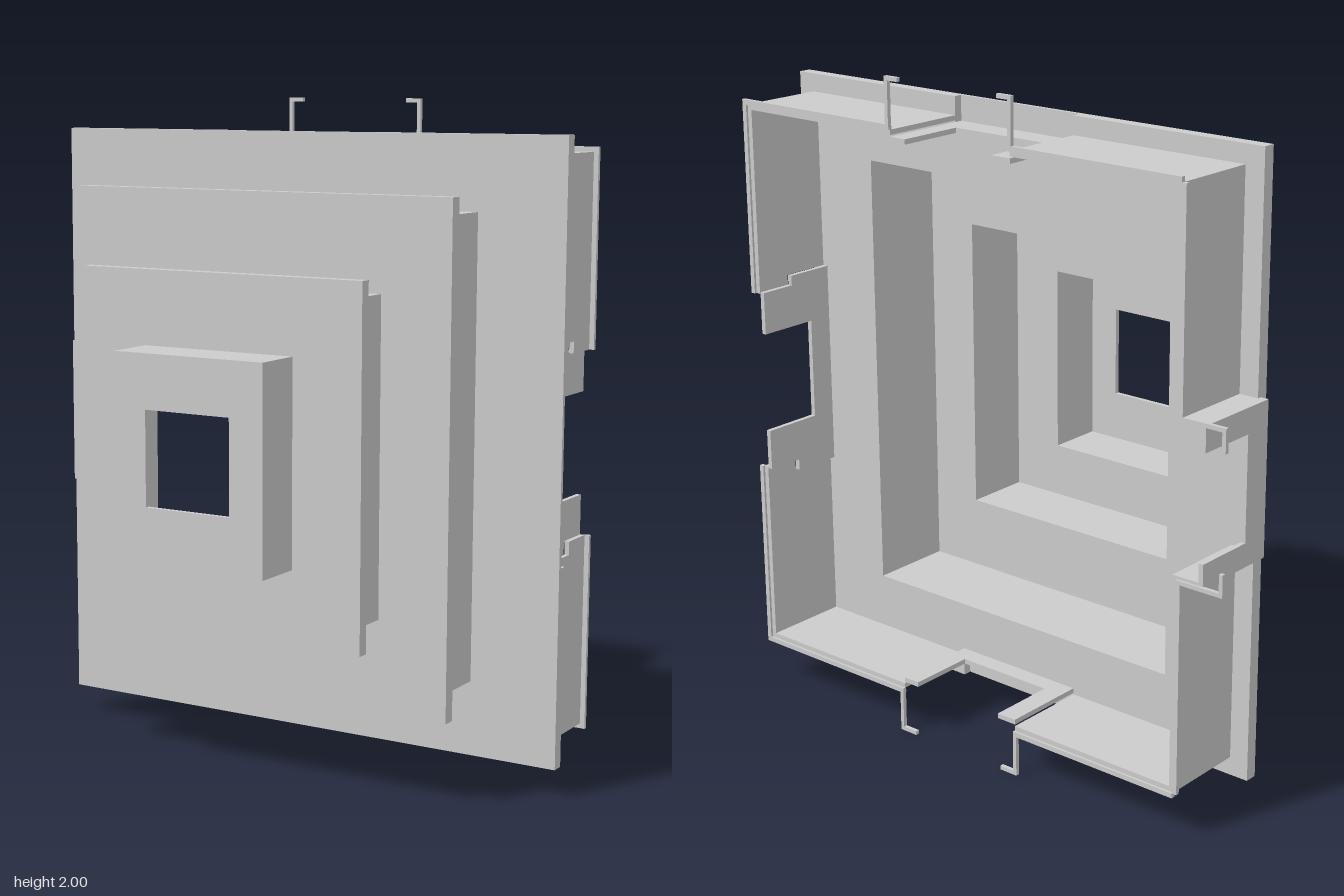
import * as THREE from 'three';

const T = 0.015; // sheet thickness
const BACK = -0.46;

export function createModel() {
  const model = new THREE.Group();
  const mat = new THREE.MeshStandardMaterial({ color: 0xcccccc, flatShading: true, side: THREE.DoubleSide });

  const add = (name, geo) => {
    const mesh = new THREE.Mesh(geo, mat);
    mesh.name = name;
    model.add(mesh);
    return mesh;
  };
  // Box given by its limits
  const box = (name, x0, x1, y0, y1, z0, z1) => {
    const g = new THREE.BoxGeometry(x1 - x0, y1 - y0, z1 - z0);
    g.translate((x0 + x1) / 2, (y0 + y1) / 2, (z0 + z1) / 2);
    return add(name, g);
  };
  const toPoints = (pts) => pts.map(([a, b]) => new THREE.Vector2(a, b));
  const rect = ([x0, x1, y0, y1]) => [[x0, y0], [x1, y0], [x1, y1], [x0, y1]];
  const inset = ([x0, x1, y0, y1], d) => [x0 + d, x1 - d, y0 + d, y1 - d];
  const extrude = (pts, depth, hole) => {
    const shape = new THREE.Shape(toPoints(pts));
    if (hole) shape.holes.push(new THREE.Path(toPoints(rect(hole))));
    return new THREE.ExtrudeGeometry(shape, { depth, bevelEnabled: false });
  };
  const frame = (name, pts, hole, z0, z1) => add(name, extrude(pts, z1 - z0, hole).translate(0, 0, z0));

  // Outlines [x0, x1, y0, y1] of the hollow tiers, back to front
  const tierA = [-0.75, 0.845, 0.14, 1.85];
  const tierB = [-0.53, 0.625, 0.31, 1.685];
  const tierC = [-0.365, 0.46, 0.53, 1.465];
  const tierD = [-0.2, 0.295, 0.695, 1.3];
  const plateA = [-0.81, 0.9, 0.085, 1.905];
  const plateB = [-0.59, 0.68, 0.255, 1.74];
  const plateC = [-0.42, 0.515, 0.475, 1.52];

  // Stepped tier walls and flange plates
  frame('middleTierWall', rect(tierB), inset(tierB, T), -0.155, 0.07);
  frame('smallTierWall', rect(tierC), inset(tierC, T), 0.11, 0.28);
  frame('frontTierWall', rect(tierD), inset(tierD, T), 0.315, 0.47 - T);
  frame('frontPanel', rect(tierD), [-0.095, 0.185, 0.86, 1.14], 0.47 - T, 0.47);
  frame('middlePlate', rect(plateB), inset(tierC, T), 0.07, 0.11);
  frame('smallPlate', rect(plateC), inset(tierD, T), 0.28, 0.315);
  frame('largePlateFront', rect(plateA), inset(tierB, T), -0.167, -0.155);

  // Rear layer of the large plate, notched at the top, bottom and +x edges
  const gx0 = -0.175, gx1 = 0.265, gy0 = 0.68, gy1 = 1.31, R = 0.02;
  const [px0, px1, py0, py1] = plateA;
  const [ax0, ax1, ay0, ay1] = tierA;
  frame('largePlateRear', [
    [px0, py0], [gx0, py0], [gx0, ay0 + R], [gx1, ay0 + R], [gx1, py0], [px1, py0],
    [px1, gy0], [ax1 - R, gy0], [ax1 - R, gy1], [px1, gy1], [px1, py1],
    [gx1, py1], [gx1, ay1 - R], [gx0, ay1 - R], [gx0, py1], [px0, py1],
  ], inset(tierB, T), -0.193, -0.167);

  // Rear tier top and bottom: wall halves, rim lips and notched centre panels
  for (const top of [true, false]) {
    const y0 = top ? ay1 - T : ay0, y1 = y0 + T;
    const l0 = top ? ay1 : ay0 - T;
    for (const [x0, x1] of [[ax0, gx0], [gx1, ax1]]) {
      box('rearTierWall', x0, x1, y0, y1, BACK, -0.193);
      box('rimLip', x0, x1, l0, l0 + T, BACK - 0.007, BACK + 0.005);
    }
    const panel = extrude([
      [gx0, -0.167], [gx0, BACK], [-0.11, BACK], [-0.11, -0.25],
      [0.21, -0.25], [0.21, BACK], [gx1, BACK], [gx1, -0.167],
    ], T).rotateX(Math.PI / 2);
    add('notchedPanel', panel.translate(0, top ? ay1 - R : ay0 + R + T, 0));
  }

  // Rear tier +x side: wall with a stepped opening and a recessed notched panel
  const sidePanel = (name, pts, x) => add(name, extrude(pts, T).rotateY(-Math.PI / 2).translate(x, 0, 0));
  sidePanel('rearTierWall', [[-0.193, ay0], [BACK, ay0], [BACK, 0.72], [-0.345, 0.72], [-0.345, gy0], [-0.193, gy0]], ax1);
  sidePanel('rearTierWall', [[-0.193, ay1], [BACK, ay1], [BACK, 1.275], [-0.345, 1.275], [-0.345, gy1], [-0.193, gy1]], ax1);
  sidePanel('notchedPanel', [
    [-0.167, gy0], [-0.345, gy0], [-0.345, 0.715], [BACK, 0.715], [BACK, 0.84], [-0.27, 0.84],
    [-0.27, 1.15], [BACK, 1.15], [BACK, 1.28], [-0.345, 1.28], [-0.345, gy1], [-0.167, gy1],
  ], ax1 - R + 0.003);

  // Rear tier -x side: wall halves and a boxed-out notched panel
  const by0 = 0.77, by1 = 1.225, bx = -0.835;
  for (const [y0, y1] of [[ay0, by0], [by1, ay1]]) {
    box('rearTierWall', ax0, ax0 + T, y0, y1, BACK, -0.193);
    box('rimLip', ax0 - T, ax0, y0, y1, BACK - 0.007, BACK + 0.005);
  }
  for (const [y0, y1] of [[ay0 - T, 0.72], [1.275, ay1 + T]])
    box('rimLip', ax1, ax1 + T, y0, y1, BACK - 0.007, BACK + 0.005);
  sidePanel('bulgePanel', [
    [-0.193, by0], [BACK, by0], [BACK, 0.84], [-0.27, 0.84],
    [-0.27, 1.15], [BACK, 1.15], [BACK, by1], [-0.193, by1],
  ], bx + T);
  for (const y of [by0, by1 - T]) box('bulgeSide', bx, ax0 + T, y, y + T, BACK, -0.193);
  box('bulgeFront', bx, px0, by0, by1, -0.193, -0.18);

  // Bent hooks at the back rim
  const h = 0.012, z0 = BACK - 0.007, z1 = BACK + 0.005;
  for (const top of [true, false]) {
    const [y0, y1] = top ? [ay1, 2] : [0, ay0];
    const tip = top ? 2 - h : 0;
    const reach = top ? 0.05 : 0.062;
    box('hookArm', -0.185, -0.185 + h, y0, y1, z0, z1);
    box('hookTip', -0.185, -0.185 + reach, tip, tip + h, z0, z1);
    box('hookArm', 0.278 - h, 0.278, y0, y1, z0, z1);
    box('hookTip', 0.278 - reach, 0.278, tip, tip + h, z0, z1);
    const ay = top ? 1.222 : 0.764;
    box('hookArm', -0.903, ax0, ay, ay + h, z0, z1);
    box('hookTip', -0.903, -0.903 + h, top ? 1.165 : ay, top ? ay + h : 0.83, z0, z1);
  }
  return model;
}
